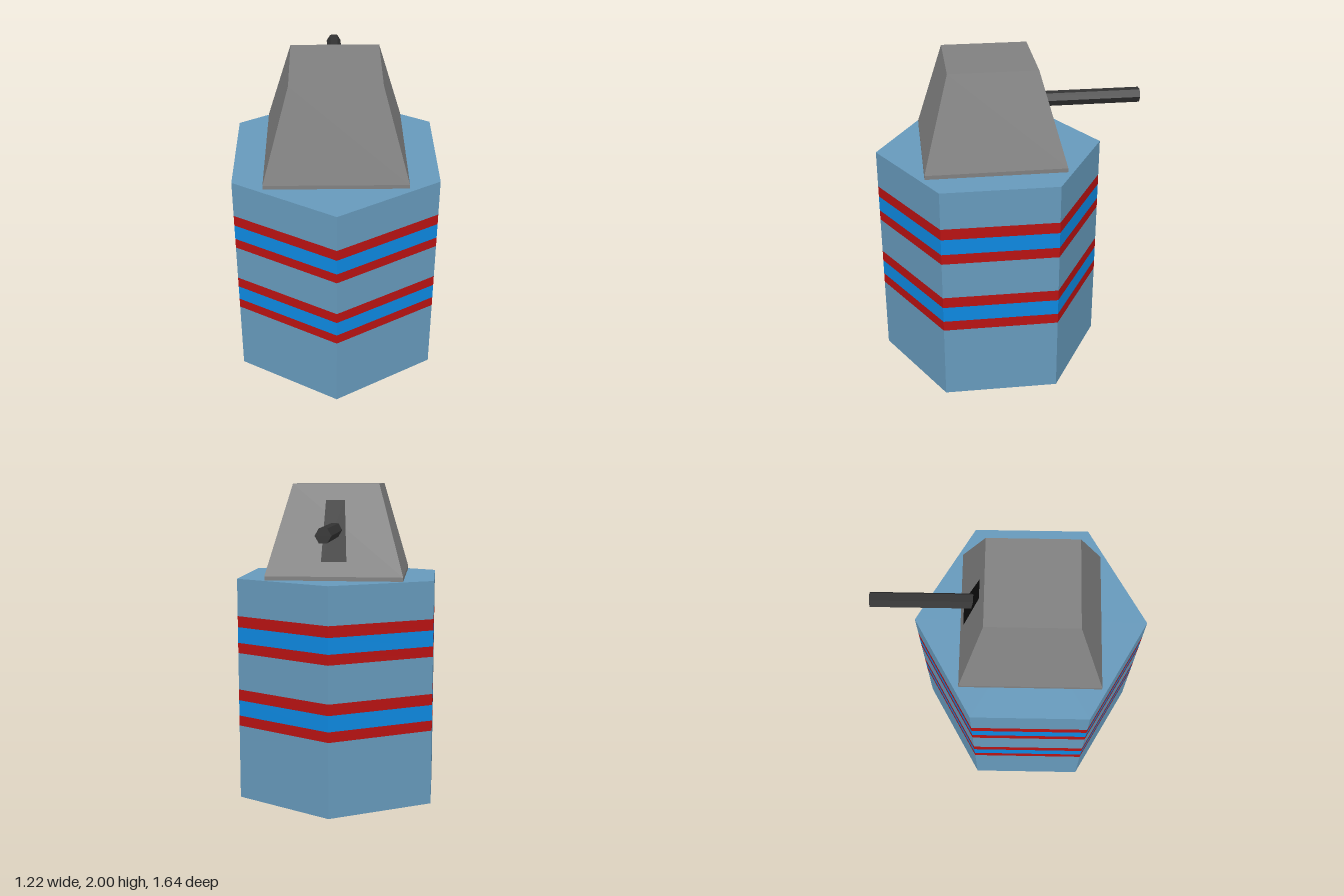
import * as THREE from 'three';

const CENTRE_Z = 0.115;

function part(name, geometry, color) {
  const material = new THREE.MeshStandardMaterial({ color, flatShading: true });
  const mesh = new THREE.Mesh(geometry, material);
  mesh.name = name;
  return mesh;
}

// Faceted solid turned from [radius, height] pairs, listed bottom to top
function prism(profile, sides, start = 0) {
  const points = profile.map(([r, y]) => new THREE.Vector2(r, y));
  return new THREE.LatheGeometry(points, sides, start).translate(0, 0, CENTRE_Z);
}

export function createModel() {
  const model = new THREE.Group();
  model.name = 'gunTower';

  // Hexagonal tower, stacked in coloured bands
  const R = 0.705, TOP = 1.415;
  const steel = 0x6699bb, red = 0xb81212, blue = 0x0d88e0;
  const tower = new THREE.Group();
  tower.name = 'tower';
  const bands = [
    ['towerBase', 0, 0.475, steel],
    ['lowerRedStripe', 0.475, 0.54, red],
    ['lowerBlueStripe', 0.54, 0.64, blue],
    ['lowerRedStripe', 0.64, 0.71, red],
    ['towerMiddle', 0.71, 0.945, steel],
    ['upperRedStripe', 0.945, 1.01, red],
    ['upperBlueStripe', 1.01, 1.11, blue],
    ['upperRedStripe', 1.11, 1.18, red],
    ['towerTop', 1.18, TOP, steel],
  ];
  for (const [name, y0, y1, color] of bands) {
    const profile = [[R, y0], [R, y1]];
    if (y0 === 0) profile.unshift([0, 0]);
    if (y1 === TOP) profile.push([0, TOP]);
    tower.add(part(name, prism(profile, 6), color));
  }
  model.add(tower);

  // Square turret with a thin upright lip below the sloping walls
  const baseHalf = 0.425, topHalf = 0.267, lipY = 1.44, roofY = 2;
  const corner = Math.SQRT2;
  model.add(part('turret', prism([
    [baseHalf * corner, TOP], [baseHalf * corner, lipY], [topHalf * corner, roofY], [0, roofY],
  ], 4, Math.PI / 4), 0x808080));

  // Dark gun slot lying on the sloping back wall
  const wallZ = (y) => CENTRE_Z - THREE.MathUtils.mapLinear(y, lipY, roofY, baseHalf, topHalf);
  const low = 1.53, high = 1.9, lift = 0.003;
  const slot = new THREE.BufferGeometry();
  slot.setAttribute('position', new THREE.Float32BufferAttribute([
    0.078, low, wallZ(low) - lift,
    -0.078, low, wallZ(low) - lift,
    -0.058, high, wallZ(high) - lift,
    0.058, high, wallZ(high) - lift,
  ], 3));
  slot.setIndex([0, 1, 2, 0, 2, 3]);
  slot.computeVertexNormals();
  model.add(part('gunSlot', slot, 0x0c0c0c));

  // Hexagonal barrel pointing backwards, corners out to the sides
  const length = 0.66;
  const barrel = new THREE.CylinderGeometry(0.047, 0.047, length, 6);
  barrel.rotateY(Math.PI / 2).rotateX(-Math.PI / 2).translate(0, 1.72, -0.82 + length / 2);
  model.add(part('barrel', barrel, 0x333333));

  return model;
}
